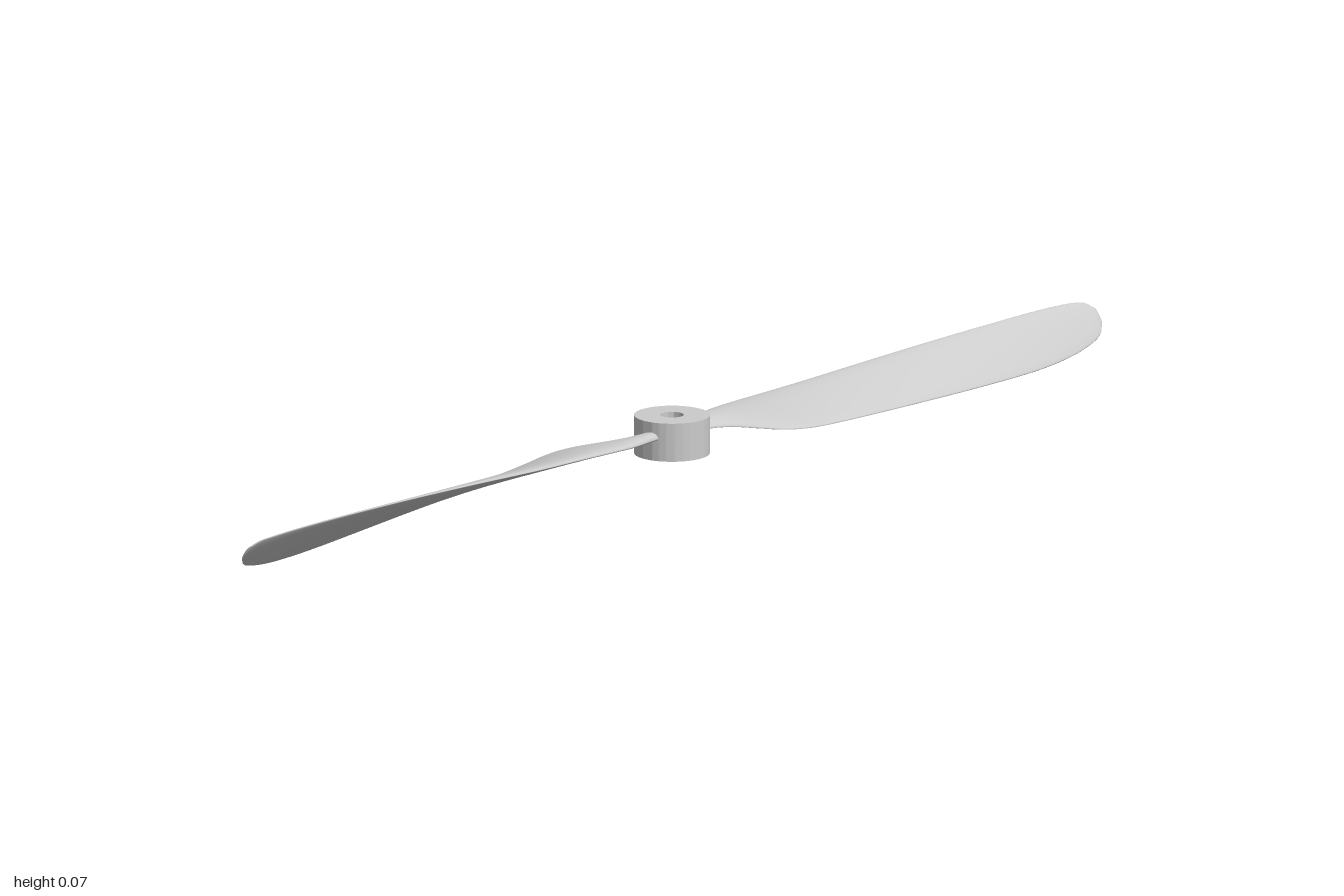
import * as THREE from 'three';
import { toCreasedNormals } from 'three/addons/utils/BufferGeometryUtils.js';

const material = new THREE.MeshStandardMaterial({ color: 0xcccccc });

// Blade stations from root to tip:
// [z, leading x, leading y, trailing x, trailing y, thickness]
const STATIONS = [
  [0.045, 0.018, 0.050, -0.018, 0.045, 0.015],
  [0.075, 0.023, 0.051, -0.022, 0.044, 0.015],
  [0.105, 0.029, 0.052, -0.035, 0.042, 0.015],
  [0.135, 0.033, 0.053, -0.060, 0.038, 0.015],
  [0.165, 0.034, 0.054, -0.083, 0.034, 0.015],
  [0.20, 0.034, 0.055, -0.091, 0.030, 0.015],
  [0.25, 0.033, 0.056, -0.090, 0.025, 0.014],
  [0.35, 0.032, 0.058, -0.083, 0.019, 0.013],
  [0.50, 0.029, 0.063, -0.073, 0.012, 0.012],
  [0.65, 0.027, 0.067, -0.062, 0.006, 0.010],
  [0.80, 0.025, 0.069, -0.049, 0.002, 0.009],
  [0.90, 0.024, 0.069, -0.036, 0.005, 0.008],
  [0.96, 0.022, 0.067, -0.025, 0.013, 0.007],
  [0.985, 0.018, 0.064, -0.018, 0.021, 0.006],
  [1.0, 0.009, 0.055, -0.008, 0.034, 0.004],
];

// Twisted blade lofted through cambered airfoil sections
function bladeGeometry(rings = 84, sides = 32) {
  const curve = (pick) => new THREE.CatmullRomCurve3(
    STATIONS.map((s) => new THREE.Vector3(...pick(s))), false, 'catmullrom');
  const leading = curve(([z, x, y]) => [x, y, z]);
  const trailing = curve(([z, , , x, y]) => [x, y, z]);
  const thickness = curve((s) => [s[5], 0, s[0]]);
  const positions = [], indices = [];

  for (let i = 0; i <= rings; i++) {
    const t = i / rings;
    const a = leading.getPoint(t), b = trailing.getPoint(t);
    const thick = thickness.getPoint(t).x;
    const chord = b.clone().sub(a);
    const up = new THREE.Vector3(chord.y, -chord.x, 0).normalize();
    for (let j = 0; j < sides; j++) {
      const angle = (j / sides) * Math.PI * 2;
      const u = (1 - Math.cos(angle)) / 2;
      // Fullest near the leading edge, with a flatter underside
      const bulge = Math.sin(angle) * (1.2 - 0.5 * u);
      const h = thick * bulge * (angle < Math.PI ? 0.72 : 0.28);
      const p = a.clone().addScaledVector(chord, u).addScaledVector(up, h);
      positions.push(p.x, p.y, p.z);
    }
  }
  for (let i = 0; i < rings; i++) {
    for (let j = 0; j < sides; j++) {
      const k = (j + 1) % sides;
      const a = i * sides + j, b = i * sides + k;
      indices.push(a, b, b + sides, a, b + sides, a + sides);
    }
  }
  // Close the tip
  const end = leading.getPoint(1).add(trailing.getPoint(1)).multiplyScalar(0.5);
  positions.push(end.x, end.y, end.z);
  const centre = (rings + 1) * sides;
  for (let j = 0; j < sides; j++) {
    indices.push(centre, rings * sides + j, rings * sides + ((j + 1) % sides));
  }
  const geometry = new THREE.BufferGeometry();
  geometry.setAttribute('position', new THREE.Float32BufferAttribute(positions, 3));
  geometry.setIndex(indices);
  geometry.computeVertexNormals();
  return geometry;
}

// Cylindrical hub with a shaft bore
function hubGeometry() {
  const shape = new THREE.Shape().absarc(0, 0, 0.058, 0, Math.PI * 2, false);
  shape.holes.push(new THREE.Path().absarc(0, 0, 0.018, 0, Math.PI * 2, true));
  const geometry = new THREE.ExtrudeGeometry(shape, {
    depth: 0.06, bevelEnabled: false, curveSegments: 48,
  });
  geometry.rotateX(-Math.PI / 2).translate(0, 0.015, 0);
  return toCreasedNormals(geometry, Math.PI / 6);
}

export function createModel() {
  const model = new THREE.Group();
  model.name = 'propeller';

  const hub = new THREE.Mesh(hubGeometry(), material);
  hub.name = 'hub';
  model.add(hub);

  // Two identical blades, half a turn apart
  const geometry = bladeGeometry();
  ['frontBlade', 'backBlade'].forEach((name, i) => {
    const blade = new THREE.Mesh(geometry, material);
    blade.name = name;
    blade.rotation.y = i * Math.PI;
    model.add(blade);
  });
  return model;
}
